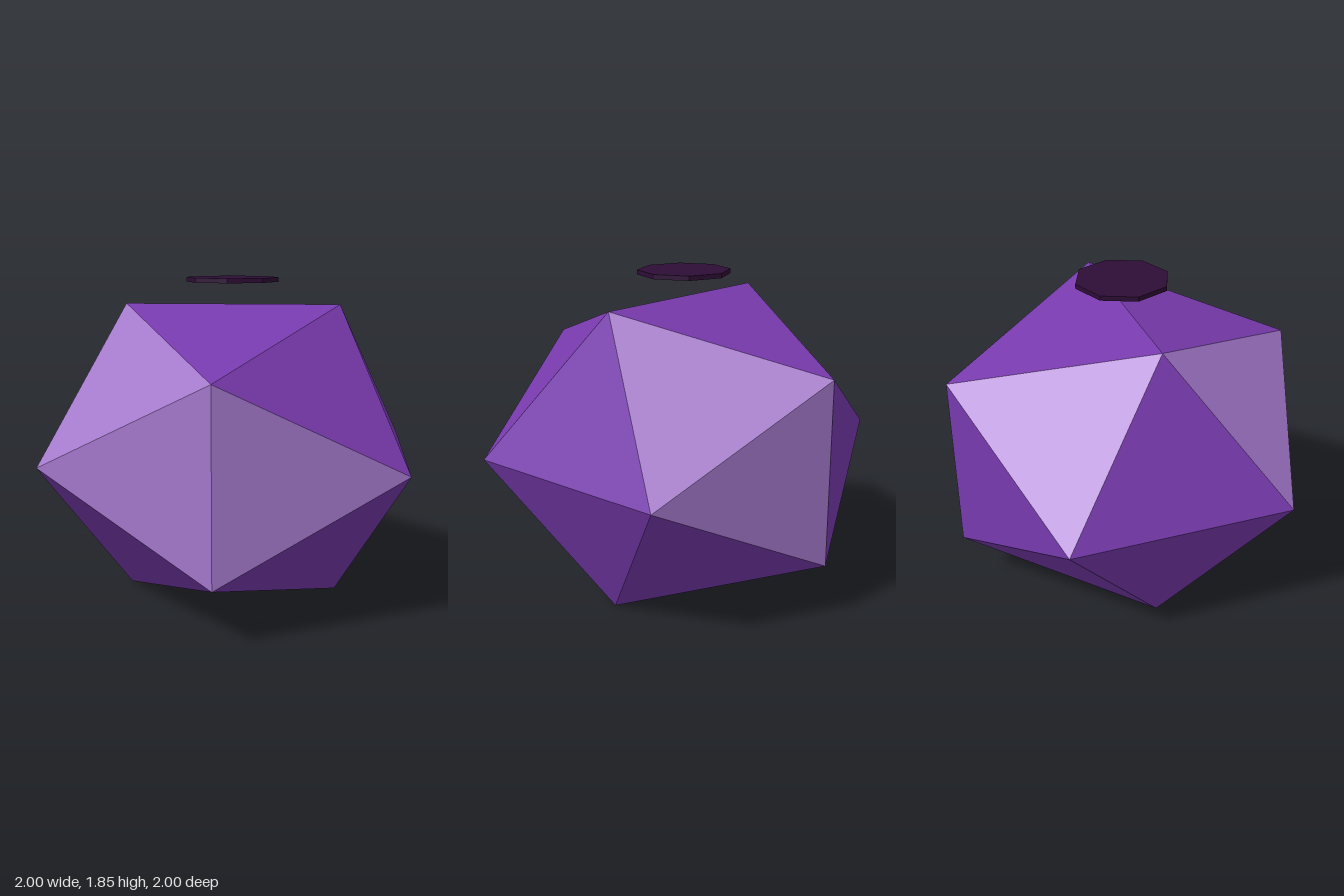
import * as THREE from 'three';

const purple = new THREE.MeshStandardMaterial({ color: 0x783aae });
purple.name = 'purple';
const lilac = new THREE.MeshStandardMaterial({ color: 0xa478cc });
lilac.name = 'lilac';
const darkPlum = new THREE.MeshStandardMaterial({ color: 0x2e0d36 });
darkPlum.name = 'dark plum';

export function createModel() {
  const model = new THREE.Group();
  model.name = 'facetedGem';

  // Gem body: a slightly squashed icosahedron, one unit to its widest points
  const height = 1.7;
  const golden = (1 + Math.sqrt(5)) / 2;
  const radius = Math.hypot(1, 1 / golden);
  const gem = new THREE.IcosahedronGeometry(radius, 0);
  gem.scale(1, height / 2, 1);
  gem.translate(0, height / 2, 0);

  // Every third facet is lilac
  gem.clearGroups();
  for (let face = 0; face < 20; face++) {
    gem.addGroup(face * 3, 3, face % 3 === 0 ? 1 : 0);
  }
  const body = new THREE.Mesh(gem, [purple, lilac]);
  body.name = 'gemBody';
  model.add(body);

  // Thin eight-sided disc floating above the gem
  const discGeometry = new THREE.CylinderGeometry(0.264, 0.264, 0.026, 8).toNonIndexed();
  discGeometry.computeVertexNormals();
  const disc = new THREE.Mesh(discGeometry, darkPlum);
  disc.name = 'floatingDisc';
  disc.position.y = 1.839;
  model.add(disc);

  return model;
}
